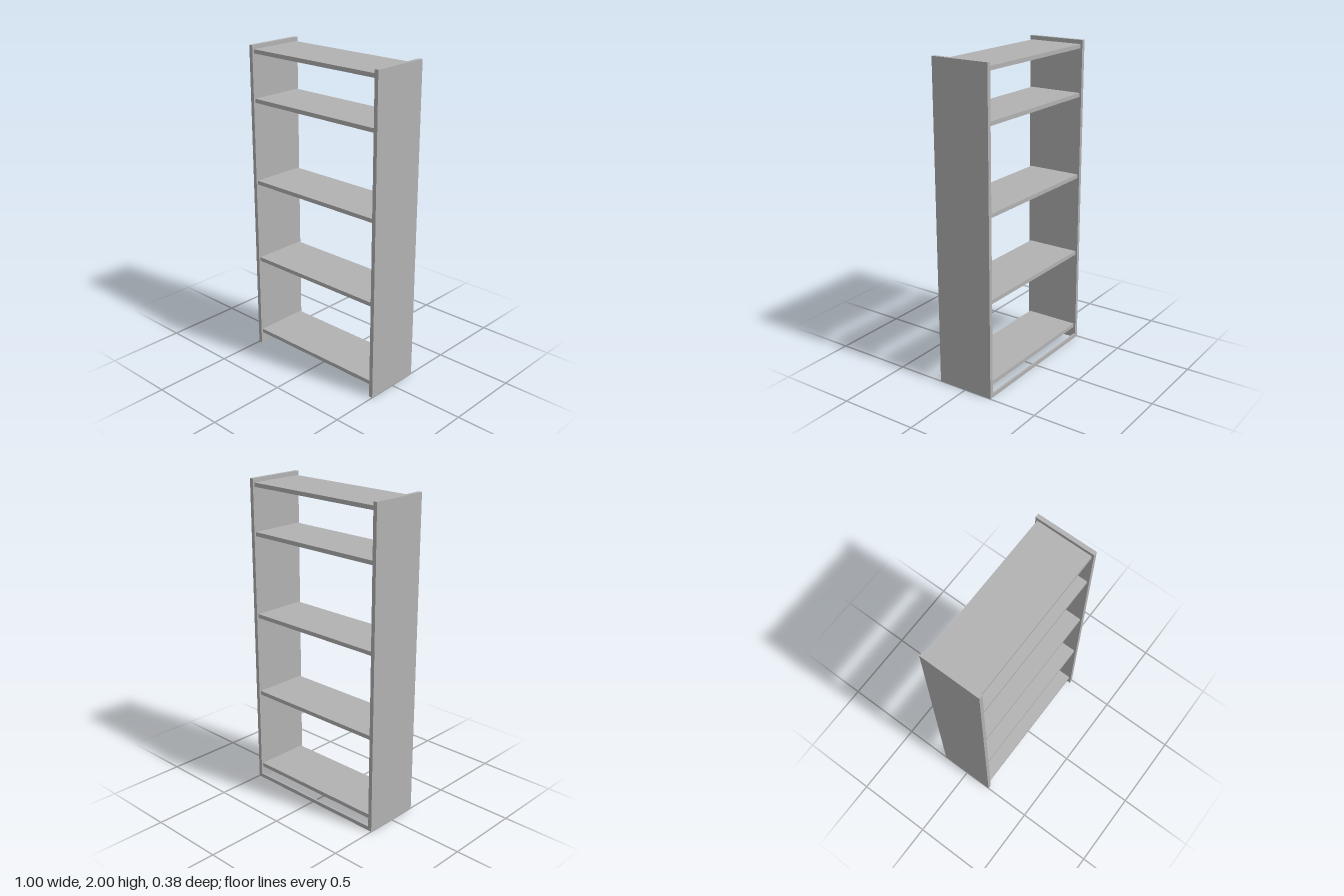
import * as THREE from 'three';

export function createModel() {
  const group = new THREE.Group();
  group.name = 'openShelfUnit';
  const grey = new THREE.MeshStandardMaterial({ color: 0xb2b2b2 });
  grey.name = 'light grey';

  const T = 0.025;            // board thickness
  const DEPTH = 0.376;        // side panel depth
  const INNER = 1 - 2 * T;    // clear width between the sides
  const INSET = 0.012;        // shelf setback, also the rail depth

  const board = (name, w, h, d, x, y, z) => {
    const mesh = new THREE.Mesh(new THREE.BoxGeometry(w, h, d), grey);
    mesh.name = name;
    mesh.position.set(x, y, z);
    group.add(mesh);
  };

  // Upright side panels
  for (const [name, s] of [['leftSide', 1], ['rightSide', -1]]) {
    board(name, T, 2, DEPTH, s * (0.5 - T / 2), 1, 0);
  }

  // Shelves, listed by the height of their upper face
  [0.1, 0.625, 1.15, 1.675, 1.975].forEach((top, i) => {
    board(`shelf${i + 1}`, INNER, T, DEPTH - 2 * INSET, 0, top - T / 2, 0);
  });

  // Thin floor rail along the back
  board('backRail', INNER, T, INSET, 0, T / 2, -DEPTH / 2 + INSET / 2);

  return group;
}
